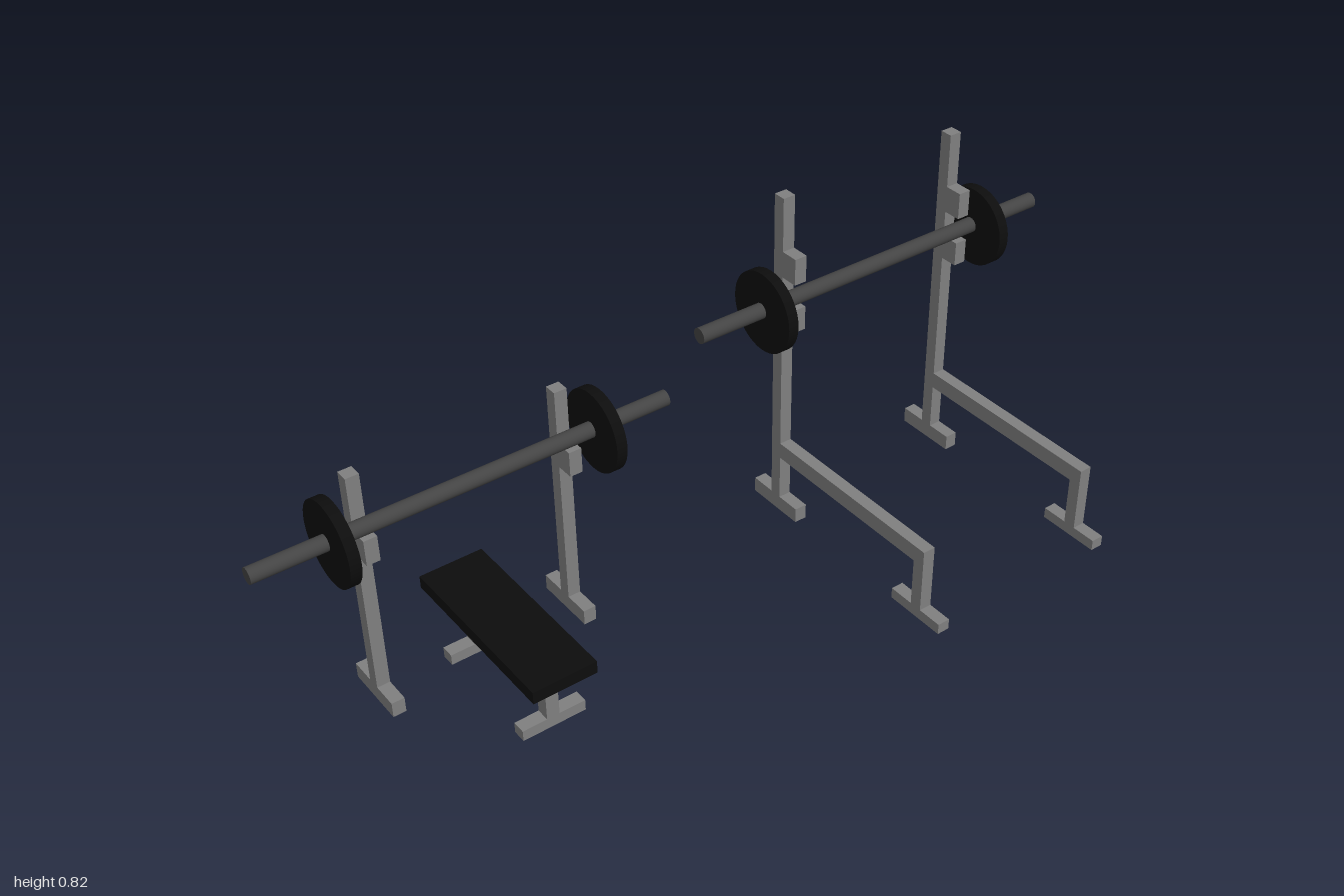
import * as THREE from 'three';

const steel = new THREE.MeshStandardMaterial({ color: 0x808080 });
const barMetal = new THREE.MeshStandardMaterial({ color: 0x444444 });
const black = new THREE.MeshStandardMaterial({ color: 0x0d0d0d });

const T = 0.03; // square tube thickness
const POST_X = -0.24;
const BAR_X = -0.21;

// Box given by its extents on each axis
function box(name, [x0, x1], [y0, y1], [z0, z1], material = steel) {
  const mesh = new THREE.Mesh(new THREE.BoxGeometry(x1 - x0, y1 - y0, z1 - z0), material);
  mesh.position.set((x0 + x1) / 2, (y0 + y1) / 2, (z0 + z1) / 2);
  mesh.name = name;
  return mesh;
}

const span = (c, size = T) => [c - size / 2, c + size / 2];

// Disc or rod lying along z
function rod(name, radius, length, x, y, z, material, sides) {
  const geometry = new THREE.CylinderGeometry(radius, radius, length, sides).rotateX(Math.PI / 2);
  const mesh = new THREE.Mesh(geometry, material);
  mesh.position.set(x, y, z);
  mesh.name = name;
  return mesh;
}

// Upright with a foot and bar supports
function upright(z, height, supports) {
  const g = new THREE.Group();
  g.name = 'upright';
  g.add(box('post', span(POST_X), [0.03, height], span(z)));
  g.add(box('postFoot', [-0.317, -0.165], [0, 0.037], span(z)));
  for (const [y0, y1] of supports) {
    g.add(box('barSupport', [-0.225, -0.183], [y0, y1], span(z)));
  }
  return g;
}

// Rail, leg and foot that brace a tall upright
function brace(z) {
  const g = new THREE.Group();
  g.name = 'brace';
  g.add(box('rail', [-0.225, 0.265], [0.15, 0.19], span(z)));
  g.add(box('braceLeg', [0.235, 0.265], [0.03, 0.15], span(z)));
  g.add(box('braceFoot', [0.173, 0.325], [0.004, 0.03], span(z)));
  return g;
}

function barbell(y, zMid) {
  const g = new THREE.Group();
  g.name = 'barbell';
  g.add(rod('bar', 0.018, 0.955, BAR_X, y, zMid, barMetal, 24));
  for (const side of [-1, 1]) {
    g.add(rod('weightPlate', 0.094, 0.025, -0.207, y - 0.003, zMid + side * 0.302, black, 40));
  }
  return g;
}

function bench() {
  const g = new THREE.Group();
  g.name = 'bench';
  g.add(box('benchPad', [-0.327, 0.113], [0.148, 0.178], [0.45, 0.6], black));
  for (const x of [POST_X, 0.042]) {
    g.add(box('benchLeg', span(x, 0.032), [0.03, 0.148], span(0.527)));
    g.add(box('benchFoot', span(x, 0.032), [0.004, 0.03], [0.45, 0.6]));
  }
  return g;
}

export function createModel() {
  const model = new THREE.Group();
  model.name = 'weightRacks';

  // Low rack with the bench
  const benchRack = new THREE.Group();
  benchRack.name = 'benchRack';
  for (const z of [0.29, 0.758]) benchRack.add(upright(z, 0.575, [[0.39, 0.45]]));
  benchRack.add(barbell(0.463, 0.5225), bench());

  // Tall rack with braces
  const squatRack = new THREE.Group();
  squatRack.name = 'squatRack';
  for (const z of [-0.293, -0.76]) {
    squatRack.add(upright(z, 0.82, [[0.51, 0.567], [0.63, 0.693]]), brace(z));
  }
  squatRack.add(barbell(0.581, -0.5225));

  model.add(benchRack, squatRack);
  return model;
}
